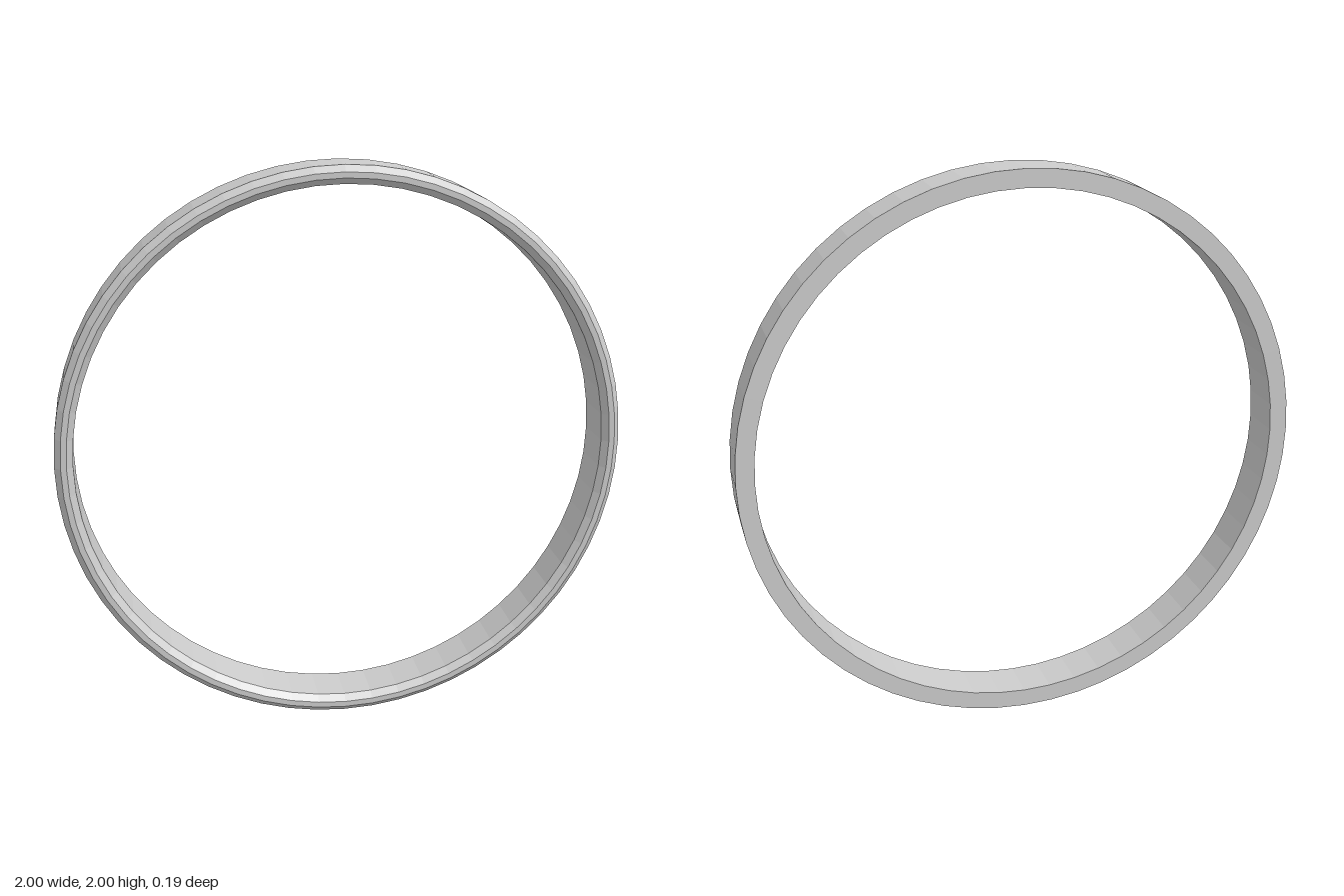
import * as THREE from 'three';

export function createModel() {
  const group = new THREE.Group();
  group.name = 'ring';

  // Closed cross-section (radius, depth): flat back, both front edges chamfered
  const outer = 1, inner = 0.936, half = 0.094, bevel = 0.022;
  const profile = [
    [outer, -half],
    [outer, half - bevel],
    [outer - bevel, half],
    [inner + bevel, half],
    [inner, half - bevel],
    [inner, -half],
    [outer, -half],
  ].map(([r, z]) => new THREE.Vector2(r, z));

  // Spin into a 60-sided hoop, then stand it upright facing +z
  const geometry = new THREE.LatheGeometry(profile, 60);
  geometry.rotateX(Math.PI / 2);
  geometry.translate(0, outer, 0);

  const hoop = new THREE.Mesh(
    geometry,
    new THREE.MeshStandardMaterial({ color: 0xcccccc, flatShading: true })
  );
  hoop.name = 'hoop';
  group.add(hoop);
  return group;
}
